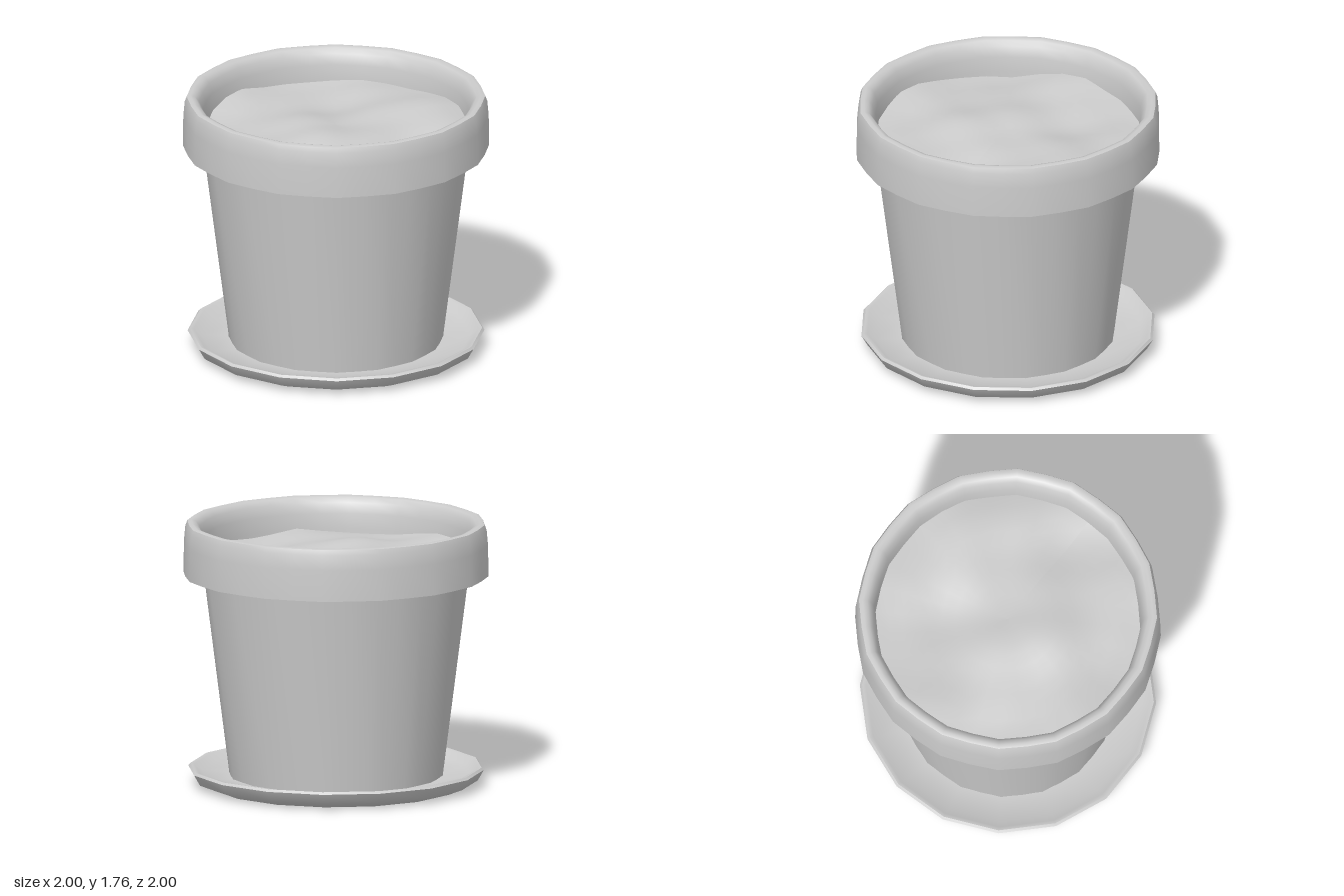
import * as THREE from 'three';
import { toCreasedNormals } from 'three/addons/utils/BufferGeometryUtils.js';

const material = new THREE.MeshStandardMaterial({ color: 0xcccccc, side: THREE.DoubleSide });

// Turned part; 32 segments get every other vertex pushed out to suggest 16 soft corners
function turned(name, profile, segments) {
  const points = profile.map(([r, y]) => new THREE.Vector2(r, y));
  const start = segments === 16 ? Math.PI / 16 : 0;
  const geometry = new THREE.LatheGeometry(points, segments, start);
  if (segments === 32) {
    const p = geometry.attributes.position;
    for (let i = 0; i < p.count; i++) {
      const column = Math.floor(i / points.length);
      const s = column % 2 ? 1.011 : 1;
      p.setXYZ(i, p.getX(i) * s, p.getY(i), p.getZ(i) * s);
    }
  }
  const mesh = new THREE.Mesh(toCreasedNormals(geometry, 0.75), material);
  mesh.name = name;
  return mesh;
}

// Uneven earth surface built from a polar grid
function soil() {
  const geometry = new THREE.RingGeometry(0.001, 0.875, 32, 10);
  geometry.rotateX(-Math.PI / 2);
  const p = geometry.attributes.position;
  for (let i = 0; i < p.count; i++) {
    const x = p.getX(i), z = p.getZ(i);
    const bumps = 0.02 * Math.sin(5 * x + 2 * z + 1) + 0.018 * Math.sin(7 * z - 3 * x)
      + 0.012 * Math.sin(11 * x + 4) * Math.cos(9 * z);
    p.setY(i, 1.55 + bumps);
  }
  geometry.computeVertexNormals();
  const mesh = new THREE.Mesh(geometry, material);
  mesh.name = 'soil';
  return mesh;
}

export function createModel() {
  const model = new THREE.Group();
  model.name = 'flowerPot';

  // Dished saucer, open in the middle under the pot
  model.add(turned('saucer', [
    [0.71, 0.07], [0.71, 0], [0.84, 0], [0.94, 0.04], [0.98, 0.11],
    [0.965, 0.125], [0.94, 0.12], [0.89, 0.08], [0.71, 0.07],
  ], 16));

  // Tapered wall
  model.add(turned('potWall', [[0.7, 0.07], [0.87, 1.42]], 32));

  // Thick rounded collar with its inner wall
  model.add(turned('rim', [
    [0.86, 1.412], [1, 1.412], [0.997, 1.62], [0.988, 1.72], [0.975, 1.755], [0.95, 1.762],
    [0.92, 1.752], [0.895, 1.72], [0.875, 1.65], [0.867, 1.55], [0.86, 1.412],
  ], 32));

  model.add(soil());
  return model;
}
